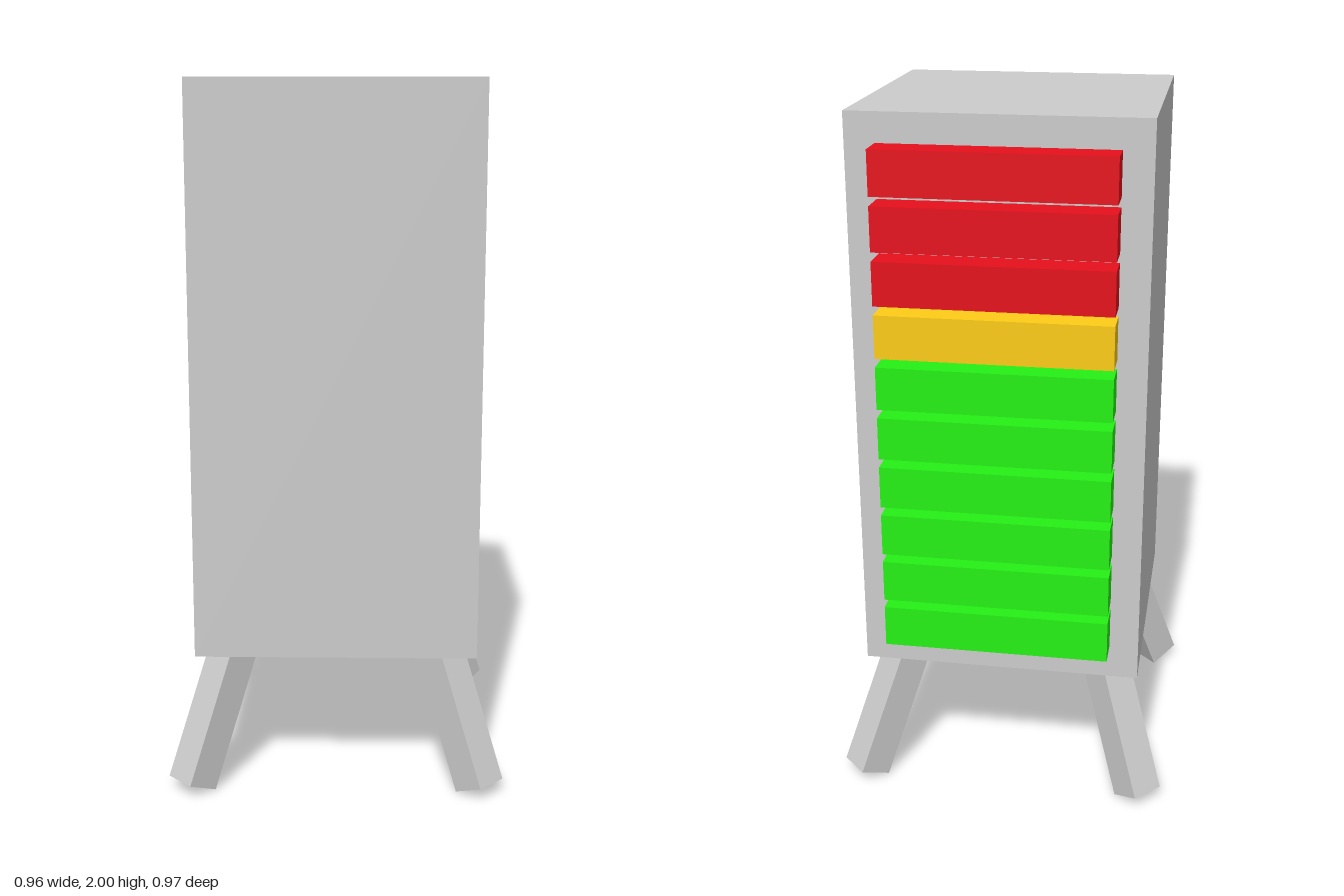
import * as THREE from 'three';

const material = (color) => new THREE.MeshStandardMaterial({ color });

function addBox(parent, name, size, position, mat) {
  const mesh = new THREE.Mesh(new THREE.BoxGeometry(...size), mat);
  mesh.name = name;
  mesh.position.set(...position);
  parent.add(mesh);
  return mesh;
}

export function createModel() {
  const model = new THREE.Group();
  model.name = 'levelIndicatorTower';
  const grey = material(0xcccccc);
  const green = material(0x25f115);
  const yellow = material(0xfdcc17);
  const red = material(0xe6101c);

  // Tall square body
  addBox(model, 'body', [0.8, 1.6, 0.8], [0, 1.2, 0], grey);

  // Stack of level bars on the back: six green, one yellow, three red
  const bars = new THREE.Group();
  bars.name = 'levelBars';
  model.add(bars);
  for (let i = 0; i < 10; i++) {
    const mat = i < 6 ? green : i < 7 ? yellow : red;
    addBox(bars, `levelBar${i + 1}`, [0.636, 0.12, 0.088], [0, 0.56 + i * 0.1444, -0.444], mat);
  }

  // Four square legs splayed out along the diagonals
  const legLength = 0.5;
  const legGeometry = new THREE.BoxGeometry(0.1, legLength, 0.097);
  legGeometry.translate(0, legLength / 2, 0);
  legGeometry.rotateZ(0.41);
  legGeometry.translate(0.584, 0.02, 0);
  const legNames = ['backLeftLeg', 'backRightLeg', 'frontRightLeg', 'frontLeftLeg'];
  legNames.forEach((name, i) => {
    const leg = new THREE.Mesh(legGeometry, grey);
    leg.name = name;
    leg.rotation.y = Math.PI / 4 + (i * Math.PI) / 2;
    model.add(leg);
  });

  return model;
}
